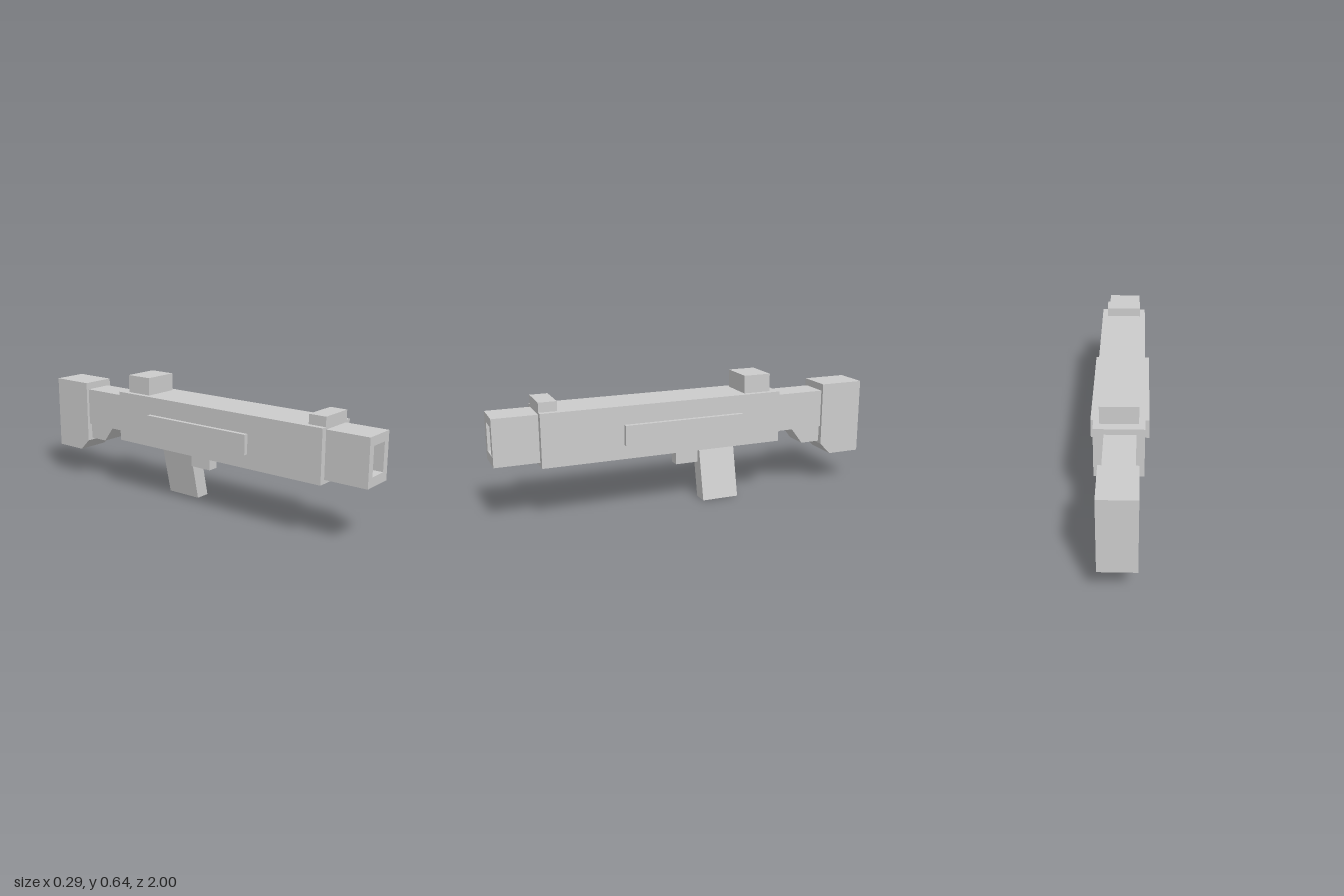
import * as THREE from 'three';

const material = new THREE.MeshStandardMaterial({ color: 0xcccccc, flatShading: true });

const toShape = pts => new THREE.Shape(pts.map(([a, b]) => new THREE.Vector2(a, b)));
const rect = (x0, x1, y0, y1) => [[x0, y0], [x1, y0], [x1, y1], [x0, y1]];

export function createModel() {
  const group = new THREE.Group();

  const add = (name, geometry) => {
    const mesh = new THREE.Mesh(geometry, material);
    mesh.name = name;
    group.add(mesh);
  };

  // Box given by its limits on each axis
  const box = (name, x0, x1, y0, y1, z0, z1) =>
    add(name, new THREE.BoxGeometry(x1 - x0, y1 - y0, z1 - z0)
      .translate((x0 + x1) / 2, (y0 + y1) / 2, (z0 + z1) / 2));

  // Front outline (x, y) extruded along z
  const frontPrism = (name, shape, z0, z1) =>
    add(name, new THREE.ExtrudeGeometry(shape, { depth: z1 - z0, bevelEnabled: false })
      .translate(0, 0, z0));

  // Side outline (z, y) extruded along x
  const sidePrism = (name, pts, x0, x1) =>
    add(name, new THREE.ExtrudeGeometry(toShape(pts), { depth: x1 - x0, bevelEnabled: false })
      .rotateY(-Math.PI / 2).translate(x1, 0, 0));

  // Main body with its side rails
  box('body', -0.12, 0.12, 0.28, 0.546, -0.48, 0.78);
  box('leftRail', 0.12, 0.143, 0.352, 0.453, -0.26, 0.37);
  box('rightRail', -0.143, -0.12, 0.352, 0.453, -0.26, 0.37);

  // Hollow square barrel
  const barrel = toShape(rect(-0.089, 0.084, 0.3, 0.535));
  barrel.holes.push(toShape(rect(-0.052, 0.047, 0.347, 0.49)));
  frontPrism('barrel', barrel, 0.78, 1);

  // Sights on top
  box('frontSight', -0.092, 0.092, 0.546, 0.594, 0.69, 0.78);
  box('rearSight', -0.092, 0.092, 0.546, 0.638, -0.435, -0.29);

  // Trigger block and slanted grip
  box('trigger', -0.028, 0.031, 0.19, 0.28, -0.055, 0.065);
  frontPrism('grip', toShape([[0.026, 0], [0.106, 0], [0.044, 0.28], [-0.036, 0.28]]), -0.252, -0.057);

  // Stock: neck, wedge under it and shoulder piece
  box('stockNeck', -0.08, 0.07, 0.318, 0.516, -0.765, -0.48);
  sidePrism('stockWedge', [[-0.765, 0.233], [-0.66, 0.233], [-0.595, 0.318], [-0.765, 0.318]], -0.065, 0.059);
  sidePrism('shoulderStock',
    [[-1, 0.162], [-0.825, 0.162], [-0.765, 0.222], [-0.765, 0.553], [-1, 0.553]], -0.095, 0.085);

  return group;
}
